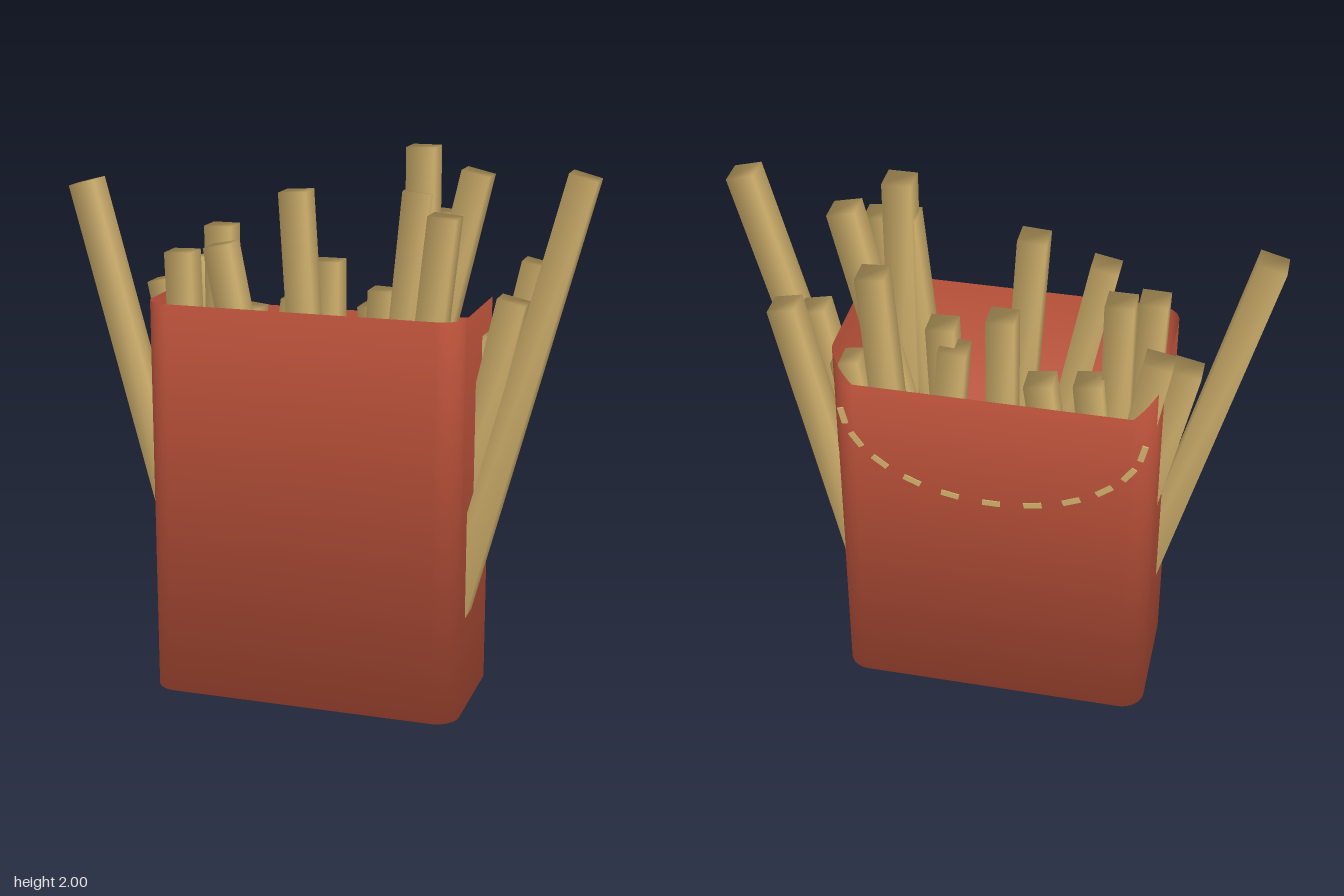
import * as THREE from 'three';
import { mergeVertices } from 'three/addons/utils/BufferGeometryUtils.js';

const red = new THREE.MeshStandardMaterial({ color: 0xcc5a40, side: THREE.DoubleSide });
red.name = 'red card';
const gold = new THREE.MeshStandardMaterial({ color: 0xd0b06c });
gold.name = 'golden potato';

// Open carton: rounded rectangle walls, dipped back rim, closed floor
function cartonGeometry() {
  const cx = -0.03, hx = 0.57, hz = 0.275, r = 0.085, steps = 8;
  const pos = [], nor = [], idx = [];
  const ring = [];
  for (let q = 0; q < 4; q++) {
    for (let k = 0; k <= steps; k++) {
      const t = (q + k / steps) * Math.PI / 2;
      const sx = q === 0 || q === 3 ? 1 : -1, sz = q < 2 ? 1 : -1;
      ring.push([cx + sx * (hx - r) + r * Math.cos(t), sz * (hz - r) + r * Math.sin(t), t, q]);
    }
  }
  for (const [x, z, t, q] of ring) {
    const c = Math.cos(t), s = Math.sin(t);
    const top = q < 2 ? 1.45 : 1.45 - 0.1 * (1 - Math.abs(c));
    pos.push(x, 0, z, x, top, z);
    nor.push(c * 0.75, -0.66, s * 0.75, c, 0, s);
  }
  const n = ring.length, centre = n * 2;
  pos.push(cx, 0, 0);
  nor.push(0, -1, 0);
  for (let i = 0; i < n; i++) {
    const a = 2 * i, b = 2 * ((i + 1) % n);
    idx.push(a, a + 1, b, b, a + 1, b + 1, centre, a, b);
  }
  const g = new THREE.BufferGeometry();
  g.setAttribute('position', new THREE.Float32BufferAttribute(pos, 3));
  g.setAttribute('normal', new THREE.Float32BufferAttribute(nor, 3));
  g.setIndex(idx);
  return g;
}

// Square stick with softly shaded edges, hanging down from its top centre
function fryGeometry(length) {
  let g = new THREE.BoxGeometry(0.1, length, 0.1);
  g.deleteAttribute('normal');
  g.deleteAttribute('uv');
  g = mergeVertices(g);
  g.translate(0, -length / 2, 0);
  g.computeVertexNormals();
  return g;
}

// Top centre x, y, z, lean to +x in degrees, length
const FRIES = [
  [-0.91, 1.83, 0.03, -14.7, 1.6],
  [0.905, 1.93, 0.08, 14.8, 1.7],
  [-0.67, 1.465, -0.1, -12, 1.1],
  [-0.58, 1.535, -0.18, -10, 1.2],
  [-0.525, 1.605, 0.08, -1.5, 1.2],
  [-0.43, 1.68, -0.07, 0, 1.2],
  [-0.34, 1.655, 0.18, -11, 1.3],
  [-0.115, 1.83, 0.03, -3.5, 1.4],
  [-0.03, 1.57, -0.08, 0, 1.2],
  [0.19, 1.485, -0.04, 2, 1.2],
  [0.34, 2.0, 0.02, 0, 1.4],
  [0.335, 1.85, 0.045, 5.5, 1.4],
  [0.45, 1.785, 0.15, 6, 1.4],
  [0.515, 1.91, -0.05, 13, 1.4],
  [0.705, 1.585, -0.18, 12.4, 1.3],
  [0.655, 1.48, -0.015, 12.4, 1.1],
  [0.39, 1.75, -0.18, 4, 1.3],
  [0.52, 1.34, -0.1, 9, 1.0],
  [-0.18, 1.4, -0.18, 8, 1.1],
  [0.14, 1.42, -0.08, -4, 1.1],
  [-0.34, 1.38, -0.12, 6, 1.1],
];

export function createModel() {
  const model = new THREE.Group();

  const carton = new THREE.Mesh(cartonGeometry(), red);
  carton.name = 'carton';
  model.add(carton);

  const fries = new THREE.Group();
  fries.name = 'fries';
  for (const [x, y, z, lean, length] of FRIES) {
    const fry = new THREE.Mesh(fryGeometry(length), gold);
    fry.name = 'fry';
    fry.position.set(x, y, z);
    fry.rotation.z = -THREE.MathUtils.degToRad(lean);
    fries.add(fry);
  }
  model.add(fries);

  // Dashed arc on the back wall
  const arc = new THREE.Group();
  arc.name = 'backDashes';
  const dash = new THREE.BoxGeometry(0.065, 0.022, 0.006);
  for (let i = 0; i < 11; i++) {
    const t = Math.PI * (1.05 + 0.9 * i / 10);
    const m = new THREE.Mesh(dash, gold);
    m.name = 'dash';
    m.position.set(-0.03 + 0.53 * Math.cos(t), 1.27 + 0.36 * Math.sin(t), -0.276);
    m.rotation.z = Math.atan2(0.36 * Math.cos(t), -0.53 * Math.sin(t));
    arc.add(m);
  }
  model.add(arc);
  return model;
}
